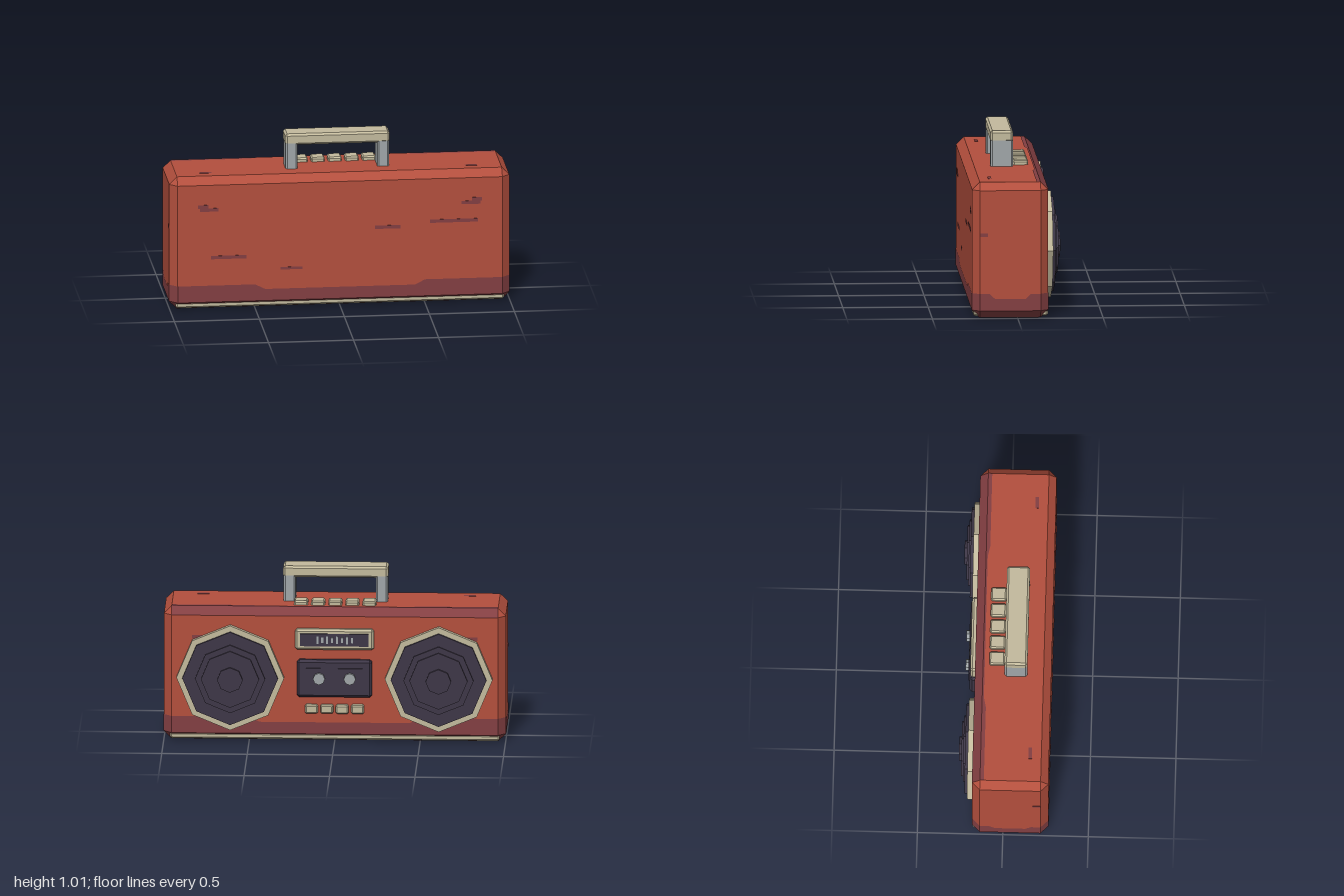
import * as THREE from 'three';
import { ConvexGeometry } from 'three/addons/geometries/ConvexGeometry.js';

const mat = (name, color) => {
  const m = new THREE.MeshStandardMaterial({ color });
  m.name = name;
  return m;
};

// Box with all edges cut at 45 degrees
function chamferBox(w, h, d, c) {
  const pts = [];
  for (const sx of [-1, 1]) for (const sy of [-1, 1]) for (const sz of [-1, 1]) {
    const x = w / 2, y = h / 2, z = d / 2;
    pts.push(new THREE.Vector3(sx * x, sy * (y - c), sz * (z - c)));
    pts.push(new THREE.Vector3(sx * (x - c), sy * y, sz * (z - c)));
    pts.push(new THREE.Vector3(sx * (x - c), sy * (y - c), sz * z));
  }
  return new ConvexGeometry(pts);
}

// Faceted disc whose axis runs along z
function disc(r, depth, sides) {
  const g = new THREE.CylinderGeometry(r, r, depth, sides).rotateX(Math.PI / 2).toNonIndexed();
  g.computeVertexNormals();
  return g;
}

// Flat-shaded surface through rows of matching points
function strip(rows, closed) {
  const pos = [], n = rows[0].length;
  for (let r = 0; r < rows.length - 1; r++) {
    for (let i = 0; i < (closed ? n : n - 1); i++) {
      const j = (i + 1) % n, a = rows[r], b = rows[r + 1];
      pos.push(...a[i], ...b[i], ...b[j], ...a[i], ...b[j], ...a[j]);
    }
  }
  const g = new THREE.BufferGeometry();
  g.setAttribute('position', new THREE.Float32BufferAttribute(pos, 3));
  g.computeVertexNormals();
  return g;
}

export function createModel() {
  const red = mat('red casing', 0xb34f3d);
  const stain = mat('worn maroon', 0x833f42);
  const beige = mat('beige trim', 0xc3ba9d);
  const grey = mat('grey metal', 0xa0a6a9);
  const dark = mat('dark plastic', 0x3e3747);

  const root = new THREE.Group();
  root.name = 'portableStereo';
  const add = (name, geo, material, x, y, z, parent = root) => {
    const m = new THREE.Mesh(geo, material);
    m.name = name;
    m.position.set(x, y, z);
    parent.add(m);
    return m;
  };

  // Casing
  const midZ = 0.0425, halfZ = 0.2225, cut = 0.045, backZ = midZ - halfZ;
  add('casing', chamferBox(2, 0.8, halfZ * 2, cut), red, 0, 0.4, midZ);

  // Worn band around the foot, lower in the middle of each side
  const X = 1.002, Z = halfZ + 0.002, hi = 0.145, lo = 0.115;
  const wide = [[-0.955, hi], [-0.5, hi], [-0.44, lo], [0.44, lo], [0.5, hi], [0.955, hi]];
  const slim = [[-0.1775, hi], [-0.12, hi], [-0.09, lo], [0.09, lo], [0.12, hi], [0.1775, hi]];
  const loop = [
    ...wide.map(([t, y]) => [t, y, Z]),
    ...slim.map(([t, y]) => [X, y, -t]),
    ...wide.map(([t, y]) => [-t, y, -Z]),
    ...slim.map(([t, y]) => [-X, y, t]),
  ];
  const clamp = THREE.MathUtils.clamp;
  add('footWear', strip([
    loop,
    loop.map(([x, , z]) => [x, cut, z]),
    loop.map(([x, , z]) => [clamp(x, -0.957, 0.957), 0, clamp(z, -0.1795, 0.1795)]),
  ], true), stain, 0, 0, midZ);

  // Worn top edge on the speaker side
  const edge = [[0.955, -0.112], [0.5, -0.112], [0.44, -0.125], [-0.44, -0.125], [-0.5, -0.112], [-0.955, -0.112]];
  add('topEdgeWear', strip([
    edge.map(([x, z]) => [x, 0.802, z]),
    edge.map(([x]) => [x, 0.802, backZ + cut]),
    edge.map(([x]) => [x, 0.755, backZ - 0.002]),
  ], false), stain, 0, 0, 0);

  // Scuffs: thin plates on the plain side, ends and top
  const scuffs = [
    [0.28, 0.47, 0.15, 0.02], [0.67, 0.497, 0.28, 0.02],
    [-0.655, 0.315, 0.21, 0.02], [-0.285, 0.238, 0.13, 0.015],
  ];
  for (const [x, y, w, h] of scuffs) {
    add('scuff', new THREE.BoxGeometry(w, h, 0.004), stain, x, y, midZ + halfZ);
  }
  for (const s of [-1, 1]) {
    for (const z of [midZ + halfZ, backZ]) {
      add('scuff', new THREE.BoxGeometry(0.11, 0.02, 0.004), stain, s * 0.77, 0.605, z);
      add('scuff', new THREE.BoxGeometry(0.06, 0.02, 0.004), stain, s * 0.805, 0.625, z);
    }
    add('endScuff', new THREE.BoxGeometry(0.004, 0.02, 0.045), stain, s, 0.493, 0.197);
    add('topScuff', new THREE.BoxGeometry(0.07, 0.004, 0.02), stain, s * 0.78, 0.8, 0.155);
  }

  // Trim rails along the bottom edges
  for (const z of [0.238, -0.158]) {
    add('bottomRail', chamferBox(1.93, 0.037, 0.04, 0.01), beige, 0, 0.027, z);
  }

  // Carrying handle
  const handle = new THREE.Group();
  handle.name = 'handle';
  root.add(handle);
  for (const s of [-1, 1]) {
    add('handlePost', chamferBox(0.07, 0.2, 0.132, 0.01), grey, s * 0.27, 0.87, 0.059, handle);
  }
  add('handleGrip', chamferBox(0.615, 0.068, 0.134, 0.012), beige, 0, 0.977, 0.059, handle);

  // Keys on top
  for (let i = -2; i <= 2; i++) {
    add('topKey', chamferBox(0.08, 0.05, 0.09, 0.008), beige, i * 0.1, 0.8, -0.054);
  }

  // Speakers: octagonal surround with stepped cone
  const cone = [[0.28, 0.048], [0.205, 0.059], [0.17, 0.07], [0.075, 0.085]];
  for (const s of [-1, 1]) {
    const speaker = new THREE.Group();
    speaker.name = s > 0 ? 'leftSpeaker' : 'rightSpeaker';
    speaker.position.set(s * 0.61, 0.385, backZ);
    root.add(speaker);
    add('speakerSurround', disc(0.315, 0.032, 8), beige, 0, 0, -0.016, speaker);
    for (const [r, depth] of cone) {
      add('speakerStep', disc(r, depth, 8), dark, 0, 0, -depth / 2, speaker);
    }
  }

  // Tuner display with scale marks
  add('tunerFrame', chamferBox(0.46, 0.125, 0.06, 0.012), beige, 0, 0.62, backZ);
  add('tunerWindow', new THREE.BoxGeometry(0.4, 0.075, 0.01), dark, 0, 0.62, backZ - 0.032);
  for (let i = 0; i < 8; i++) {
    add('tunerMark', new THREE.BoxGeometry(0.012, i % 2 ? 0.032 : 0.045, 0.004), grey,
      0.1 - i * 0.029, 0.62, backZ - 0.038);
  }

  // Cassette door with two reels
  add('cassetteDoor', chamferBox(0.44, 0.225, 0.07, 0.014), dark, 0, 0.385, backZ);
  add('cassetteWindow', new THREE.BoxGeometry(0.33, 0.12, 0.01), dark, 0, 0.39, backZ - 0.038);
  for (const s of [-1, 1]) {
    add('reel', disc(0.035, 0.02, 8), grey, s * 0.09, 0.39, backZ - 0.05);
  }

  // Playback keys
  for (let i = 0; i < 4; i++) {
    add('playKey', chamferBox(0.075, 0.052, 0.07, 0.008), beige, (i - 1.5) * 0.09, 0.2, backZ);
  }

  return root;
}
